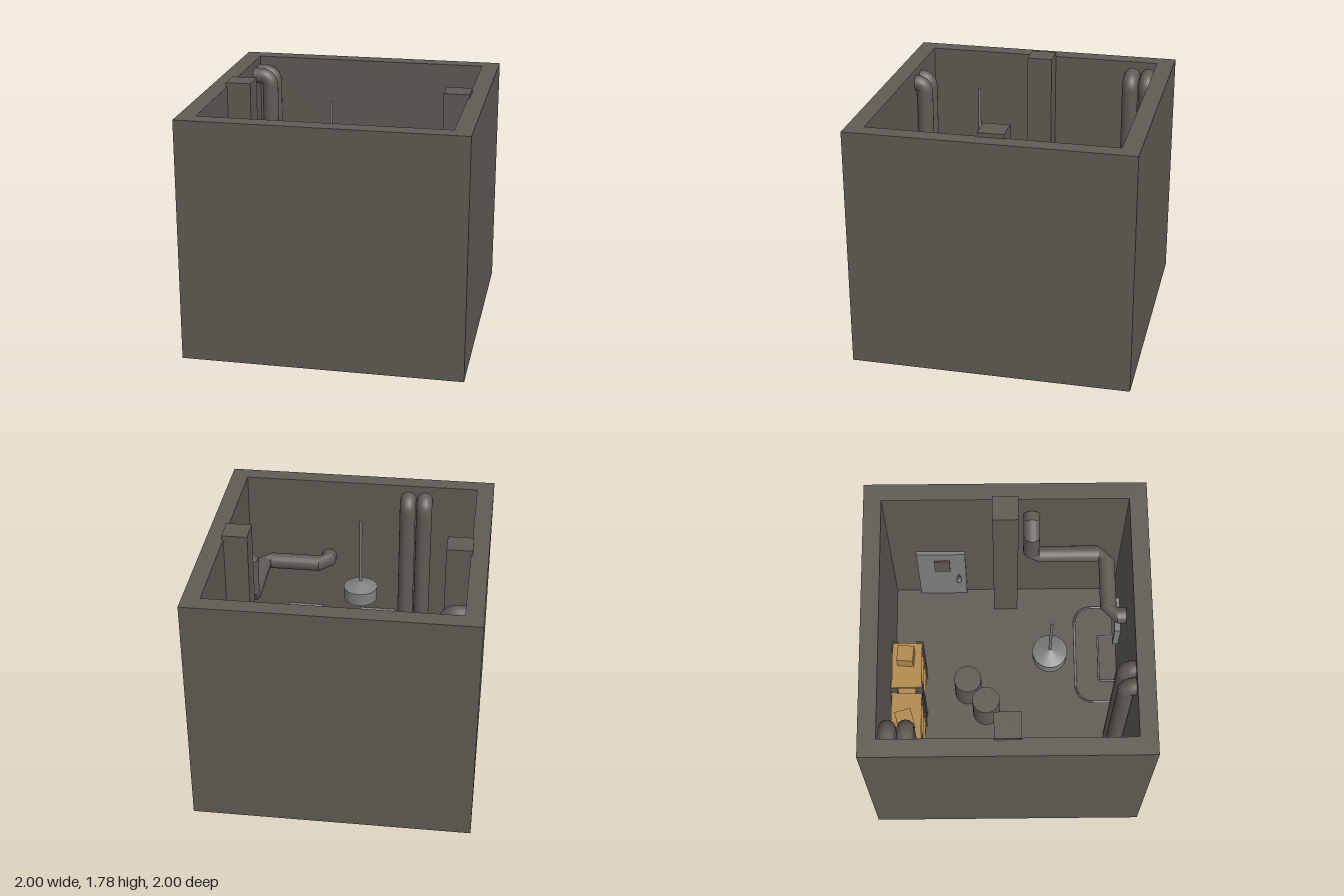
import * as THREE from 'three';
import { toCreasedNormals } from 'three/addons/utils/BufferGeometryUtils.js';

const concrete = new THREE.MeshStandardMaterial({ name: 'concrete', color: 0x5f5b54 });
const metal = new THREE.MeshStandardMaterial({ name: 'metal', color: 0x808080 });
const cardboard = new THREE.MeshStandardMaterial({ name: 'cardboard', color: 0xb08a4c });

const FLOOR = 0.125, INNER = 0.875, HEIGHT = 1.75;

function add(parent, name, geometry, material, x = 0, y = 0, z = 0) {
  const mesh = new THREE.Mesh(geometry, material);
  mesh.name = name;
  mesh.position.set(x, y, z);
  parent.add(mesh);
  return mesh;
}

const box = (parent, name, material, w, h, d, x, y, z) =>
  add(parent, name, new THREE.BoxGeometry(w, h, d), material, x, y, z);

// Round pipe along right-angled corners: straight cylinders joined by torus bends
function pipe(parent, name, material, corners, r, bend, steps, sides = 20) {
  const group = new THREE.Group();
  group.name = name;
  const pts = corners.map(c => new THREE.Vector3(...c));
  const dir = i => pts[i + 1].clone().sub(pts[i]).normalize();
  const last = pts.length - 1;
  for (let i = 0; i < last; i++) {
    const d = dir(i);
    const start = pts[i].clone().addScaledVector(d, i > 0 ? bend : 0);
    const end = pts[i + 1].clone().addScaledVector(d, i + 1 < last ? -bend : 0);
    const run = add(group, 'pipeRun', new THREE.CylinderGeometry(r, r, start.distanceTo(end), sides), material);
    run.position.copy(start).add(end).multiplyScalar(0.5);
    run.quaternion.setFromUnitVectors(new THREE.Vector3(0, 1, 0), d);
    if (i + 1 < last) {
      const next = dir(i + 1);
      const torus = new THREE.TorusGeometry(bend, r, sides, steps, Math.PI / 2);
      const elbow = add(group, 'pipeElbow', toCreasedNormals(torus, 0.5), material);
      const basis = new THREE.Matrix4().makeBasis(next.clone().negate(), d, d.clone().cross(next));
      elbow.quaternion.setFromRotationMatrix(basis);
      elbow.position.copy(end).addScaledVector(next, bend);
    }
  }
  parent.add(group);
}

// Open rack with angled corner posts, three boards and a carton on top
function shelf(parent, cx, cz, cartonX, turn) {
  const group = new THREE.Group();
  group.name = 'shelf';
  group.position.set(cx, FLOOR, cz);
  const w = 0.37, d = 0.24, h = 0.7, leg = 0.055, t = 0.012;
  for (const sx of [-1, 1]) for (const sz of [-1, 1]) {
    box(group, 'postSide', concrete, t, h, leg, sx * (w - t) / 2, h / 2, sz * (d - leg) / 2);
    box(group, 'postFace', concrete, leg, h, t, sx * (w - leg) / 2, h / 2, sz * (d - t) / 2);
  }
  for (const y of [0.1, 0.39, 0.68]) box(group, 'board', cardboard, 0.352, 0.02, 0.222, 0, y, 0);
  const carton = box(group, 'carton', cardboard, 0.12, 0.12, 0.12, cartonX, 0.75, -0.005);
  carton.rotation.y = turn;
  parent.add(group);
}

export function createModel() {
  const model = new THREE.Group();
  model.name = 'basementRoom';

  // Walls as one square ring, and the floor inside it
  const square = (path, s) => path.moveTo(-s, -s).lineTo(s, -s).lineTo(s, s).lineTo(-s, s).closePath();
  const outline = square(new THREE.Shape(), 1);
  outline.holes.push(square(new THREE.Path(), INNER));
  const wallGeometry = new THREE.ExtrudeGeometry(outline, { depth: HEIGHT, bevelEnabled: false });
  add(model, 'walls', wallGeometry.rotateX(-Math.PI / 2), concrete);
  box(model, 'floor', concrete, 2 * INNER, FLOOR, 2 * INNER, 0, FLOOR / 2, 0);

  // Pillars against the side walls
  for (const s of [-1, 1]) box(model, 'pillar', concrete, 0.185, 1.68, 0.185, s * 0.795, 0.94, 0);

  // Two pairs of riser pipes that bend into the walls
  for (const z of [-0.815, -0.69])
    pipe(model, 'backRiser', concrete, [[-0.75, FLOOR, z], [-0.75, 1.64, z], [-0.88, 1.64, z]], 0.06, 0.07, 8);
  for (const x of [-0.485, -0.36])
    pipe(model, 'frontRiser', concrete, [[x, FLOOR, 0.81], [x, 1.64, 0.81], [x, 1.64, 0.88]], 0.06, 0.062, 8);

  // Long pipe with cut elbows around the corner
  pipe(model, 'cornerPipe', concrete, [
    [0.88, 1.5, 0.19], [0.745, 1.5, 0.19], [0.745, 1.1, 0.19],
    [0.745, 1.1, 0.75], [0.25, 1.1, 0.75], [0.25, 1.1, 0.88],
  ], 0.06, 0.06, 1);

  // Hanging lamp
  const lamp = new THREE.Group();
  lamp.name = 'lamp';
  lamp.position.set(-0.06, 0, 0.31);
  add(lamp, 'lampRod', new THREE.CylinderGeometry(0.01, 0.01, 0.52, 12), metal, 0, 1.48, 0);
  add(lamp, 'lampCone', new THREE.ConeGeometry(0.125, 0.05, 32), metal, 0, 1.215, 0);
  add(lamp, 'lampBody', new THREE.CylinderGeometry(0.122, 0.122, 0.1, 32), metal, 0, 1.14, 0);
  model.add(lamp);

  // Barrels on the floor, with one stacked in the corner
  for (const [x, z, level] of [[0, -0.3, 0], [-0.17, -0.16, 0], [-0.75, 0.53, 0], [-0.655, 0.75, 0], [-0.725, 0.655, 1]])
    add(model, 'barrel', new THREE.CylinderGeometry(0.105, 0.105, 0.3, 32), concrete, x, FLOOR + 0.15 + level * 0.3, z);

  // Shelves along the back wall
  shelf(model, -0.418, -0.742, -0.052, 0.27);
  shelf(model, -0.022, -0.742, 0.052, -0.09);

  // Door with latch plate and knob on the left wall
  box(model, 'door', metal, 0.03, 0.75, 0.37, 0.862, FLOOR + 0.375, -0.495);
  box(model, 'doorPanel', concrete, 0.012, 0.18, 0.12, 0.842, FLOOR + 0.55, -0.49);
  const knob = add(model, 'doorKnob', new THREE.SphereGeometry(0.03, 16, 12), concrete, 0.808, FLOOR + 0.36, -0.365);
  knob.scale.set(1, 0.75, 0.75);
  box(model, 'knobStem', concrete, 0.04, 0.015, 0.015, 0.835, FLOOR + 0.36, -0.365);

  // Wall rails on two mounting plates
  for (const x of [-0.137, 0.44]) box(model, 'railPlate', metal, 0.275, 0.28, 0.045, x, 0.5, 0.853);
  pipe(model, 'outerRail', metal, [[-0.235, 0.55, 0.84], [-0.235, 0.55, 0.525], [0.535, 0.55, 0.525], [0.535, 0.55, 0.84]], 0.01, 0.13, 10, 10);
  pipe(model, 'innerRail', metal, [[-0.03, 0.45, 0.84], [-0.03, 0.45, 0.71], [0.335, 0.45, 0.71], [0.335, 0.45, 0.84]], 0.008, 0.01, 2, 10);

  return model;
}
